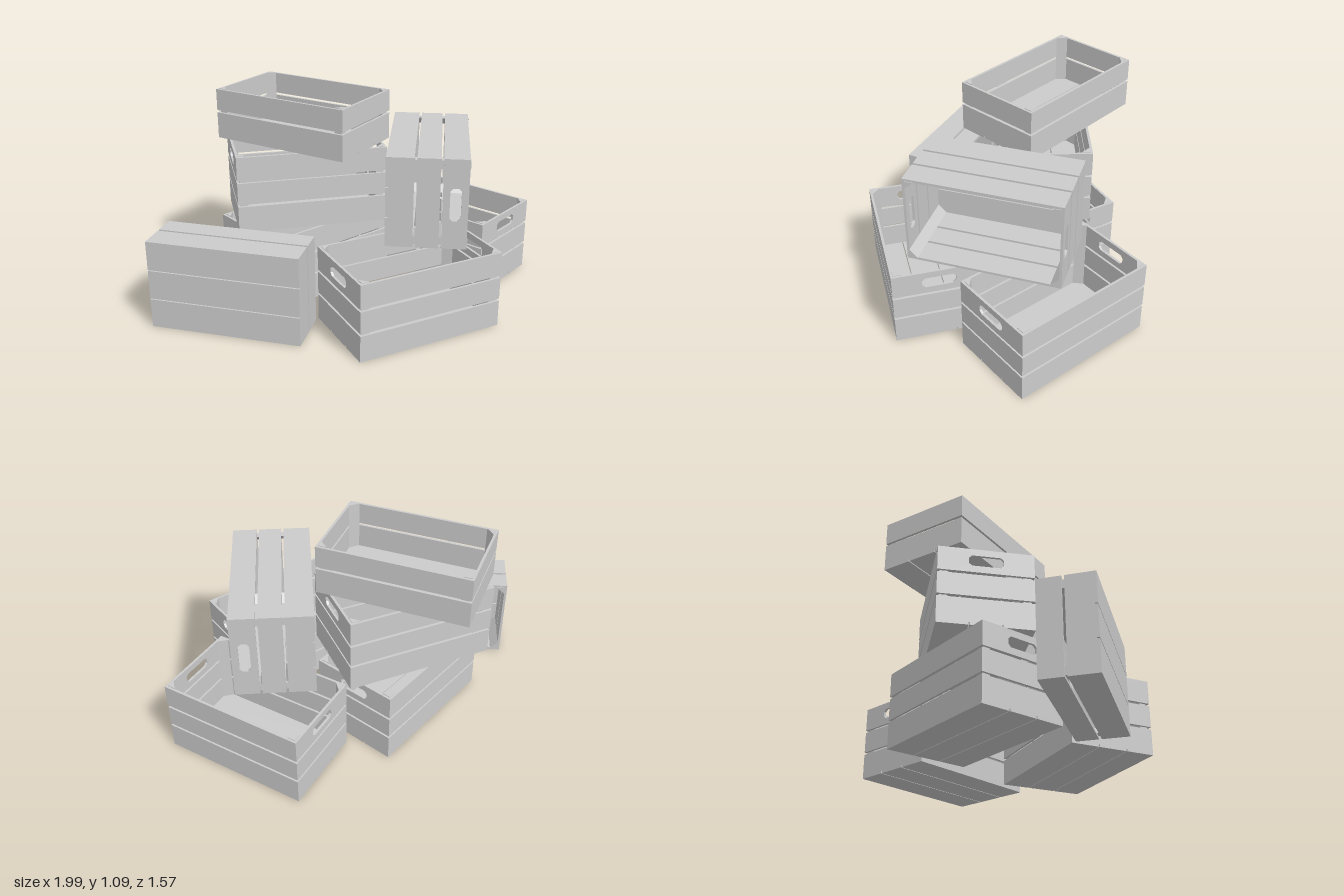
import * as THREE from 'three';

const L = 0.79, W = 0.474, T = 0.013, GAP = 0.013, POST = 0.042;
const wood = new THREE.MeshStandardMaterial({ color: 0xcccccc });
wood.name = 'pale grey wood';

function add(parent, name, geometry, x, y, z) {
  const mesh = new THREE.Mesh(geometry, wood);
  mesh.name = name;
  mesh.position.set(x, y, z);
  parent.add(mesh);
  return mesh;
}

// End board with a chamfered hand hole, standing across z with its thickness along x
function handleBoard(width, height) {
  const shape = new THREE.Shape([
    [-width / 2, -height / 2], [width / 2, -height / 2], [width / 2, height / 2], [-width / 2, height / 2],
  ].map(([x, y]) => new THREE.Vector2(x, y)));
  const a = 0.086, b = 0.028, c = 0.015;
  shape.holes.push(new THREE.Path([
    [-a, -b + c], [-a, b - c], [-a + c, b], [a - c, b], [a, b - c], [a, -b + c], [a - c, -b], [-a + c, -b],
  ].map(([x, y]) => new THREE.Vector2(x, y))));
  return new THREE.ExtrudeGeometry(shape, { depth: T, bevelEnabled: false })
    .translate(0, 0, -T / 2).rotateY(Math.PI / 2);
}

// Triangular corner post; sx and sz pick the corner
function cornerPost(sx, sz, height) {
  const x = sx * (L / 2 - T), z = sz * (W / 2 - T);
  const shape = new THREE.Shape([
    new THREE.Vector2(x, -z), new THREE.Vector2(x - sx * POST, -z), new THREE.Vector2(x, -z + sz * POST),
  ]);
  return new THREE.ExtrudeGeometry(shape, { depth: height, bevelEnabled: false }).rotateX(-Math.PI / 2);
}

// Crate centred on its own origin, open towards local +y
function crate(name, tops, handles) {
  const group = new THREE.Group();
  group.name = name;
  const height = tops[tops.length - 1], base = -height / 2;

  // Floor of three planks
  const seam = 0.005, plank = (W - 2 * seam) / 3;
  for (let i = -1; i <= 1; i++) {
    add(group, 'floorPlank', new THREE.BoxGeometry(L, T, plank), 0, base + T / 2, i * (plank + seam));
  }

  // Wall boards, row by row
  tops.forEach((top, row) => {
    const bottom = row ? tops[row - 1] + GAP : T;
    const h = top - bottom, y = base + (top + bottom) / 2;
    const hasHole = handles && row === tops.length - 1;
    for (const s of [-1, 1]) {
      add(group, 'sideBoard', new THREE.BoxGeometry(L, h, T), 0, y, s * (W - T) / 2);
      const end = hasHole ? handleBoard(W - 2 * T, h) : new THREE.BoxGeometry(T, h, W - 2 * T);
      add(group, hasHole ? 'handleBoard' : 'endBoard', end, s * (L - T) / 2, y, 0);
    }
  });

  // Corner posts, standing slightly proud of the rim
  for (const sx of [-1, 1]) for (const sz of [-1, 1]) {
    add(group, 'cornerPost', cornerPost(sx, sz, height - T + 0.003), 0, base + T, 0);
  }
  return group;
}

export function createModel() {
  const model = new THREE.Group();
  model.name = 'cratePile';
  const tall = [0.14, 0.27, 0.41], low = [0.14, 0.268];
  const H = 0.41, h = 0.268;

  // name, board tops, handles, centre, yaw in degrees, lying on its side
  const crates = [
    ['frontCrate', tall, true, [0.307, H / 2, 0.382], 28.8, false],
    ['backCrate', tall, true, [0.539, H / 2, -0.363], -37.9, false],
    ['stackBottomCrate', tall, true, [-0.252, H / 2, -0.12], 42.2, false],
    ['stackMiddleCrate', tall, true, [-0.254, H * 1.5, -0.123], 15.2, false],
    ['stackTopCrate', low, false, [-0.261, H * 2 + h / 2, -0.148], -29.2, false],
    ['tippedTallCrate', tall, true, [0.413, H + W / 2, -0.035], -93.8, true],
    ['tippedLowCrate', low, false, [-0.58, W / 2, 0.432], -12.1, true],
  ];
  for (const [name, tops, handles, centre, yaw, tipped] of crates) {
    const c = crate(name, tops, handles);
    c.position.set(...centre);
    c.rotation.set(tipped ? -Math.PI / 2 : 0, THREE.MathUtils.degToRad(yaw), 0, 'YXZ');
    model.add(c);
  }
  return model;
}
